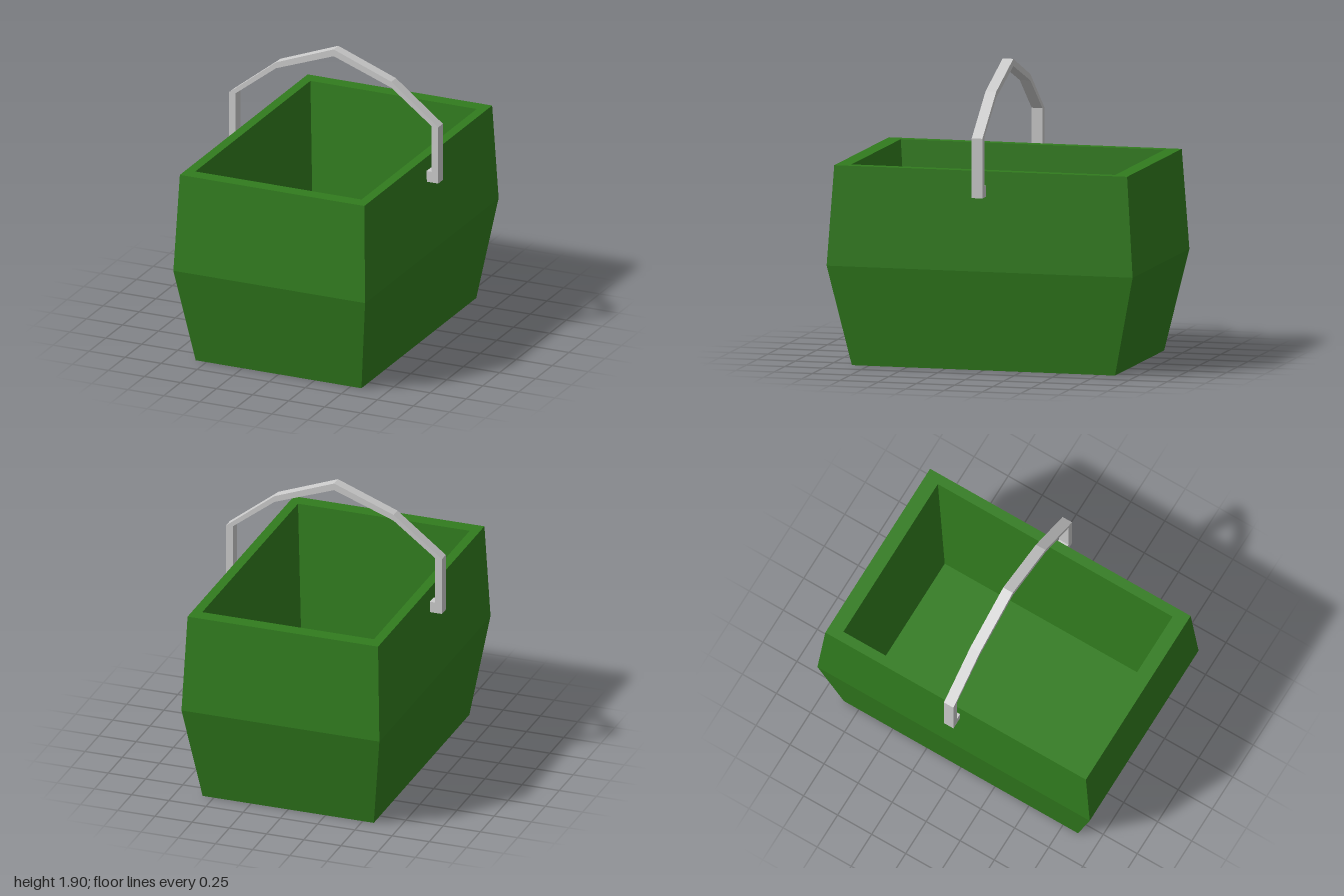
import * as THREE from 'three';

// Rectangular cross-sections [halfX, y, halfZ]: up the outside, over the rim, down the inside
const SECTIONS = [
  [0.575, 0, 0.86],
  [0.665, 0.64, 1.0],
  [0.64, 1.277, 0.957],
  [0.577, 1.277, 0.862],
  [0.516, 0.08, 0.775],
];

function basketGeometry() {
  const pos = [];
  const ring = ([x, y, z]) => [[x, y, z], [x, y, -z], [-x, y, -z], [-x, y, z]];
  const quad = (a, b, c, d) => pos.push(...a, ...b, ...c, ...a, ...c, ...d);
  const rings = SECTIONS.map(ring);
  for (let i = 0; i < rings.length - 1; i++) {
    for (let j = 0; j < 4; j++) {
      const k = (j + 1) % 4;
      quad(rings[i][j], rings[i][k], rings[i + 1][k], rings[i + 1][j]);
    }
  }
  quad(...[...rings[0]].reverse()); // underside
  quad(...rings[rings.length - 1]); // inner floor
  const geo = new THREE.BufferGeometry();
  geo.setAttribute('position', new THREE.Float32BufferAttribute(pos, 3));
  geo.computeVertexNormals();
  return geo;
}

function handleGeometry() {
  // Right half of the outline: outer edge from the apex down to the foot, then back up inside
  const outer = [[0.4, 1.75], [0.725, 1.495], [0.725, 1.115], [0.62, 1.115]];
  const inner = [[0.62, 1.187], [0.68, 1.187], [0.68, 1.495], [0.4, 1.71]];
  const mirror = (pts) => pts.map(([x, y]) => [-x, y]).reverse();
  const outline = [[0, 1.903], ...outer, ...inner, [0, 1.857], ...mirror(inner), ...mirror(outer)];
  const shape = new THREE.Shape(outline.map(([x, y]) => new THREE.Vector2(x, y)));
  const depth = 0.07;
  return new THREE.ExtrudeGeometry(shape, { depth, bevelEnabled: false }).translate(0, 0, -depth / 2);
}

export function createModel() {
  const group = new THREE.Group();
  const add = (name, geo, color) => {
    const mesh = new THREE.Mesh(geo, new THREE.MeshStandardMaterial({ color, flatShading: true }));
    mesh.name = name;
    group.add(mesh);
  };
  add('basket', basketGeometry(), 0x317c1e);
  add('handle', handleGeometry(), 0xcccccc);
  return group;
}
